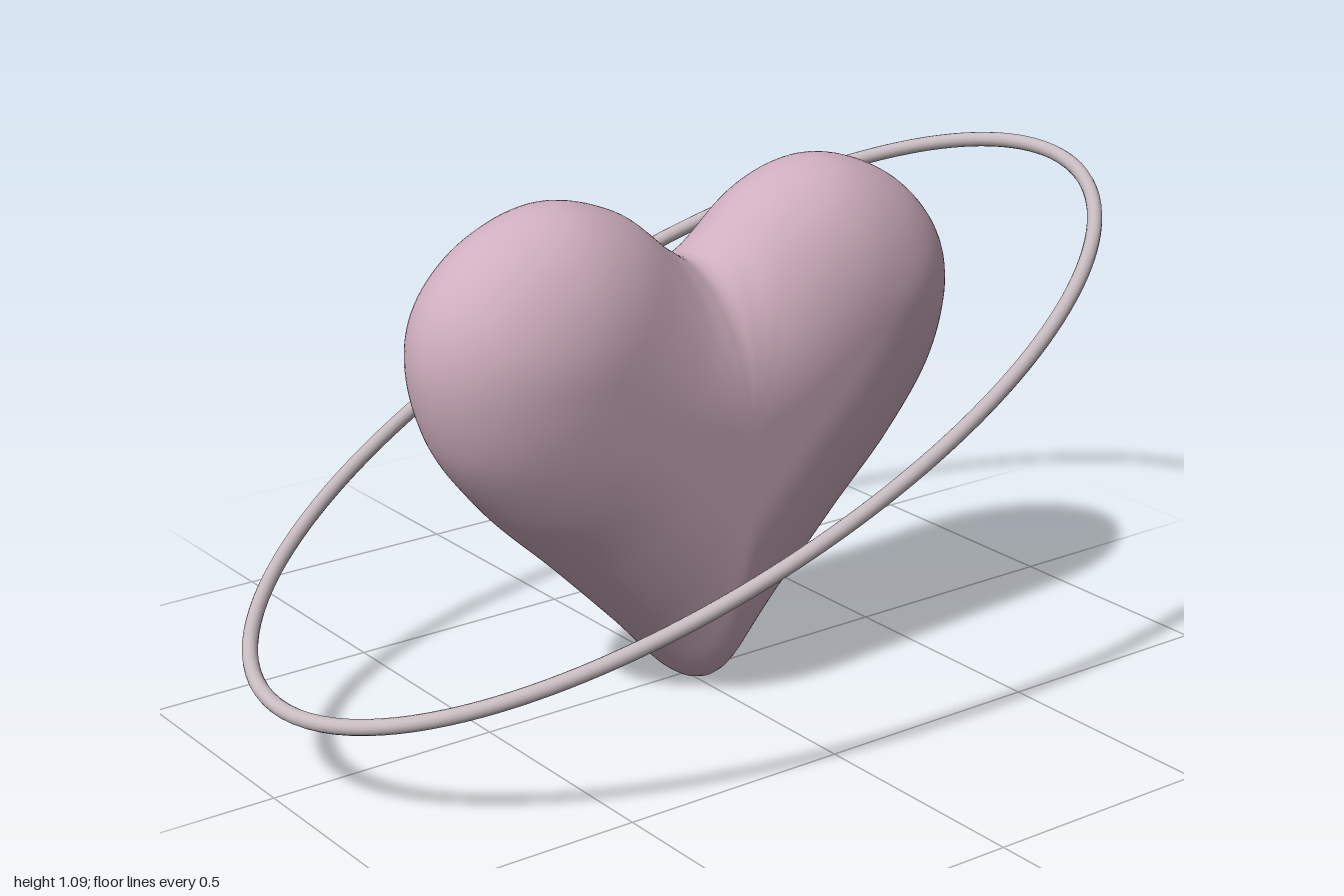
import * as THREE from 'three';

const rose = new THREE.MeshStandardMaterial({ color: 0xcfaebf });
rose.name = 'dusty rose';
const silver = new THREE.MeshStandardMaterial({ color: 0xc6babf });
silver.name = 'warm silver';

// Right half of the heart outline, from the cleft round the lobe to the tip
const HALF = [
  [0, 0.925], [0.06, 0.957], [0.18, 1.05], [0.34, 1.09], [0.51, 1.03], [0.615, 0.92],
  [0.645, 0.8], [0.605, 0.63], [0.49, 0.47], [0.33, 0.315], [0.17, 0.155], [0.04, 0.02], [0, 0.002],
];

// Puffy heart: rings shrink towards the middle, thickness follows distance from the rim
function heartGeometry() {
  const halfDepth = 0.225, bevel = 0.3, cols = 200, steps = 28;
  const mirrored = HALF.slice(1, -1).reverse().map(([x, y]) => [-x, y]);
  const curve = new THREE.CatmullRomCurve3(
    [...HALF, ...mirrored].map(([x, y]) => new THREE.Vector3(x, y, 0)), true, 'centripetal');
  const rim = curve.getSpacedPoints(cols).slice(0, cols);
  const edges = rim.map((p, i) => new THREE.Line3(p, rim[(i + 1) % cols]));
  const centre = new THREE.Vector3(0, 0.6, 0);
  const near = new THREE.Vector3();

  const rings = [];
  for (let k = 0; k <= steps; k++) {
    const shrink = 1 - (k / steps) ** 2;
    const points = rim.map((p) => centre.clone().lerp(p, shrink));
    let height = points.map((p) => {
      let d = Infinity;
      for (const e of edges) {
        d = Math.min(d, e.closestPointToPoint(p, true, near).distanceToSquared(p));
      }
      const t = 1 - Math.min(Math.sqrt(d) / bevel, 1);
      return k === 0 ? 0 : halfDepth * Math.sqrt(1 - t * t);
    });
    // soften the ridge above the tip
    for (let pass = 0; pass < 6; pass++) {
      height = height.map((h, i) =>
        (height[(i + cols - 1) % cols] + 2 * h + height[(i + 1) % cols]) / 4);
    }
    rings.push({ points, height });
  }

  // rows run from the middle of the back, over the rim, to the middle of the front
  const positions = [], index = [];
  for (let r = -steps; r <= steps; r++) {
    const { points, height } = rings[Math.abs(r)];
    points.forEach((p, i) => positions.push(p.x, p.y, Math.sign(r) * height[i]));
  }
  for (let r = 0; r < 2 * steps; r++) {
    for (let i = 0; i < cols; i++) {
      const j = (i + 1) % cols;
      const a = r * cols + i, b = r * cols + j, c = a + cols, d = b + cols;
      index.push(a, c, b, b, c, d);
    }
  }
  const geometry = new THREE.BufferGeometry();
  geometry.setAttribute('position', new THREE.Float32BufferAttribute(positions, 3));
  geometry.setIndex(index);
  geometry.computeVertexNormals();
  return geometry;
}

// Tilted oval ring around the heart
function ringGeometry() {
  const longAxis = new THREE.Vector3(0.984, 0.405, 0);
  const shortAxis = new THREE.Vector3(0.01, -0.033, 0.597);
  const points = [];
  for (let i = 0; i < 64; i++) {
    const a = (i / 64) * Math.PI * 2;
    points.push(new THREE.Vector3(0, 0.6, 0)
      .addScaledVector(longAxis, Math.cos(a)).addScaledVector(shortAxis, Math.sin(a)));
  }
  return new THREE.TubeGeometry(new THREE.CatmullRomCurve3(points, true), 160, 0.016, 14, true);
}

export function createModel() {
  const group = new THREE.Group();
  const heart = new THREE.Mesh(heartGeometry(), rose);
  heart.name = 'heart';
  const ring = new THREE.Mesh(ringGeometry(), silver);
  ring.name = 'orbitRing';
  group.add(heart, ring);
  return group;
}
